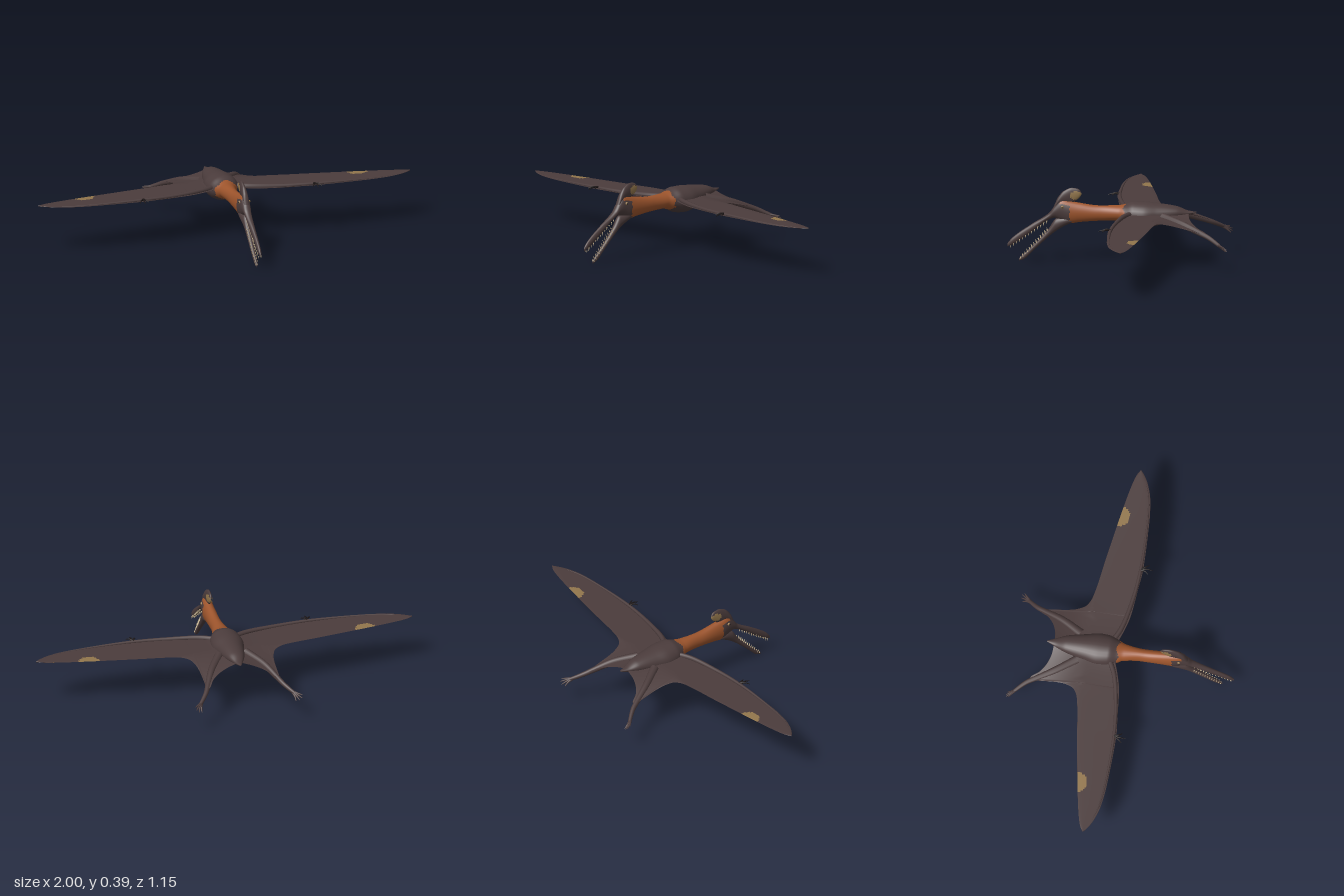
import * as THREE from 'three';

const flat = (name, color) => Object.assign(new THREE.MeshStandardMaterial({ color }), { name });

// Smooth curve through [key, value...] rows, without overshoot
function curve(rows, col) {
  const x = rows.map(r => r[0]), y = rows.map(r => r[col]), n = x.length;
  const d = x.slice(1).map((v, i) => (y[i + 1] - y[i]) / (v - x[i]));
  const m = x.map((_, i) => i === 0 ? d[0] : i === n - 1 ? d[n - 2]
    : d[i - 1] * d[i] <= 0 ? 0 : 2 * d[i - 1] * d[i] / (d[i - 1] + d[i]));
  return t => {
    let i = 0;
    while (i < n - 2 && t > x[i + 1]) i++;
    const w = x[i + 1] - x[i], s = (t - x[i]) / w, q = 1 - s;
    return y[i] * (1 + 2 * s) * q * q + m[i] * w * s * q * q
      + y[i + 1] * s * s * (3 - 2 * s) - m[i + 1] * w * s * s * q;
  };
}

// Closed rings joined in order; pick(x, y, z, isUpper) gives each quad's material index
function rings(list, segs, point, pick, flip = false) {
  const pos = [], sets = [[], [], []];
  list.forEach(u => { for (let j = 0; j < segs; j++) pos.push(...point(u, j / segs * Math.PI * 2)); });
  for (let i = 0; i < list.length - 1; i++) for (let j = 0; j < segs; j++) {
    const a = i * segs + j, b = i * segs + (j + 1) % segs, c = a + segs, d = b + segs;
    const mid = k => (pos[a * 3 + k] + pos[b * 3 + k] + pos[c * 3 + k] + pos[d * 3 + k]) / 4;
    const set = sets[pick(mid(0), mid(1), mid(2), j < segs / 2)];
    if (flip) set.push(a, c, b, b, c, d); else set.push(a, b, c, b, d, c);
  }
  const g = new THREE.BufferGeometry();
  g.setAttribute('position', new THREE.Float32BufferAttribute(pos, 3));
  g.setIndex(sets.flat());
  let start = 0;
  sets.forEach((s, k) => { if (s.length) g.addGroup(start, s.length, k); start += s.length; });
  g.computeVertexNormals();
  return g;
}

// Oval sections along z from rows of [z, bottom, top, halfWidth]
function loft(rows, steps, pick) {
  const [lo, hi, hw] = [1, 2, 3].map(k => curve(rows, k));
  const z0 = rows[0][0], z1 = rows[rows.length - 1][0];
  const list = Array.from({ length: steps + 1 }, (_, i) => z0 + (z1 - z0) * i / steps);
  return rings(list, 28, (z, a) => [hw(z) * Math.cos(a),
    (lo(z) + hi(z)) / 2 + (hi(z) - lo(z)) / 2 * Math.sin(a), z], pick);
}

// Tube narrowing from r0 to r1
function taper(points, r0, r1, segs = 24) {
  const path = new THREE.CatmullRomCurve3(points.map(p => new THREE.Vector3(...p)));
  const g = new THREE.TubeGeometry(path, segs, 1, 10), p = g.attributes.position, v = new THREE.Vector3();
  for (let i = 0; i < p.count; i++) {
    const t = Math.floor(i / 11) / segs, c = path.getPointAt(t);
    v.fromBufferAttribute(p, i).sub(c).multiplyScalar(r0 + (r1 - r0) * t).add(c);
    p.setXYZ(i, v.x, v.y, v.z);
  }
  return g;
}

export function createModel() {
  const model = new THREE.Group();
  model.name = 'flyingReptile';
  const dark = flat('darkBrownSkin', 0x4b3c3c), orange = flat('orangeNeck', 0x9c542c);
  const tan = flat('tanMarking', 0x92764c), ivory = flat('ivoryTeeth', 0xcbb894);
  const claw = flat('blackClaw', 0x1d1717);
  const skin = [dark, orange, tan];
  const add = (name, geo, mat, parent = model) => {
    const m = new THREE.Mesh(geo, mat);
    m.name = name;
    parent.add(m);
    return m;
  };

  // Trunk, neck, skull and upper jaw in one skin
  add('bodyNeckAndSkull', loft([
    [-0.4, 0.262, 0.267, 0.003], [-0.36, 0.25, 0.273, 0.02], [-0.3, 0.23, 0.295, 0.045],
    [-0.2, 0.195, 0.31, 0.07], [-0.13, 0.18, 0.317, 0.085], [-0.08, 0.185, 0.318, 0.08],
    [-0.03, 0.205, 0.302, 0.06], [0, 0.218, 0.297, 0.045], [0.1, 0.215, 0.295, 0.031],
    [0.2, 0.207, 0.308, 0.031], [0.25, 0.2, 0.318, 0.031], [0.29, 0.213, 0.325, 0.027],
    [0.33, 0.228, 0.29, 0.022], [0.355, 0.22, 0.255, 0.018], [0.45, 0.15, 0.192, 0.013],
    [0.55, 0.083, 0.118, 0.009], [0.572, 0.074, 0.09, 0.003]], 180,
  (x, y, z) => (z > -0.03 + 0.006 * Math.sin(y * 160) && z < 0.25 + 0.004 * Math.sin(y * 300))
    || (z > 0.2 && z < 0.3 && y > 0.3) ? 1 : 0), skin);

  add('lowerJaw', loft([
    [0.24, 0.203, 0.225, 0.02], [0.27, 0.19, 0.235, 0.024], [0.32, 0.16, 0.225, 0.02],
    [0.36, 0.128, 0.17, 0.015], [0.43, 0.063, 0.093, 0.012], [0.49, 0.008, 0.035, 0.008],
    [0.512, 0.001, 0.013, 0.003]], 50, () => 0), skin);

  // Thin head crest with a pale patch at the back
  add('crest', loft([
    [0.191, 0.349, 0.361, 0.003], [0.2, 0.336, 0.376, 0.008], [0.215, 0.322, 0.383, 0.01],
    [0.24, 0.305, 0.386, 0.012], [0.28, 0.3, 0.37, 0.014], [0.31, 0.29, 0.337, 0.015],
    [0.338, 0.25, 0.275, 0.012]], 60,
  (x, y, z) => Math.hypot((z - 0.218) / 0.033, (y - 0.347) / 0.022) < 1 ? 2 : 0), skin);

  // Wing plan: leading and trailing edges by span
  const leadRows = [[0, -0.05], [0.06, -0.035], [0.12, -0.015], [0.2, 0.005], [0.35, 0.02], [0.47, 0.03],
    [0.73, 0.022], [0.85, 0.008], [0.93, -0.017], [0.98, -0.045], [1, -0.062]];
  const trailRows = [[0, -0.362], [0.05, -0.365], [0.1, -0.38], [0.15, -0.415], [0.183, -0.46],
    [0.196, -0.46], [0.199, -0.33], [0.207, -0.275], [0.23, -0.228], [0.28, -0.203], [0.5, -0.168],
    [0.75, -0.128], [0.9, -0.1], [0.97, -0.081], [1, -0.064]];
  const lead = curve(leadRows, 1), trail = curve(trailRows, 1);
  const span = [0];
  trailRows.slice(1).forEach(([x], i) => {
    const from = trailRows[i][0], n = Math.max(4, Math.ceil((x - from) / 0.01));
    for (let k = 1; k <= n; k++) span.push(from + (x - from) * k / n);
  });
  const wingPick = (px, y, z, upper) => {
    const x = Math.abs(px);
    if (upper) return Math.hypot((x - 0.735) / 0.052, (z + 0.125) / 0.045) < 1 ? 2 : 0;
    const edge = (lead(x) - trail(x)) * (0.4 + 0.08 * Math.sin(x * 55));
    return x > 0.42 && x < 0.94 && z - trail(x) < edge ? 2 : 0;
  };

  for (const s of [1, -1]) {
    const side = new THREE.Group();
    side.name = s > 0 ? 'leftLimbs' : 'rightLimbs';
    model.add(side);
    const at = list => list.map(([x, y, z]) => [s * x, y, z]);

    // Membrane, drooping toward the leg
    add('wingMembrane', rings(span, 48, (x, a) => {
      const f = lead(x), b = trail(x), z = (f + b) / 2 - (f - b) / 2 * Math.cos(a);
      const droop = Math.min(1, x / 0.19) * Math.max(0, -z - 0.2) * 0.26;
      const half = 0.002 + 0.005 * Math.exp(-(f - z) / 0.04) * (1 - 0.7 * x);
      return [s * x, 0.253 + 0.014 * Math.exp(-x / 0.07) - droop + half * Math.sin(a), z];
    }, wingPick, s < 0), skin);

    add('armBone', taper(at([[0.03, 0.262, -0.08], [0.12, 0.262, -0.035], [0.28, 0.258, 0],
      [0.46, 0.258, 0.017], [0.73, 0.255, 0.012], [0.86, 0.254, -0.004], [0.95, 0.253, -0.035]]),
    0.014, 0.002, 60), dark, side);

    // Wing fingers
    [[0.44, 0.058], [0.465, 0.078], [0.49, 0.06]].forEach(([x, z]) =>
      add('wingFinger', taper(at([[0.458, 0.26, 0.015], [(x + 0.464) / 2, 0.264, 0.042], [x, 0.256, z]]),
        0.006, 0.0015, 8), claw, side));

    // Leg, foot and toes
    add('leg', taper(at([[0.07, 0.25, -0.23], [0.14, 0.225, -0.34], [0.183, 0.191, -0.43],
      [0.205, 0.172, -0.475], [0.235, 0.15, -0.515], [0.25, 0.14, -0.532]]), 0.024, 0.009), dark, side);
    [[0.285, 0.137, -0.558], [0.281, 0.125, -0.57], [0.267, 0.115, -0.572], [0.25, 0.109, -0.565]]
      .forEach(([x, y, z]) => add('toe', taper(at([[0.24, 0.145, -0.52],
        [(x + 0.247) / 2, (y + 0.143) / 2, (z - 0.525) / 2], [x, y, z]]), 0.008, 0.002, 8), dark, side));

    // Eye with pupil
    const eye = add('eye', new THREE.SphereGeometry(0.008, 16, 12), tan);
    eye.position.set(s * 0.0245, 0.288, 0.288);
    const pupil = add('pupil', new THREE.SphereGeometry(0.004, 12, 8), claw);
    pupil.position.set(s * 0.0305, 0.288, 0.289);

    // Teeth along both jaws
    for (let i = 0; i < 13; i++) {
      const t = i / 12, len = 0.014 + 0.005 * (i % 2);
      const upper = add('upperTooth', new THREE.ConeGeometry(0.0032, len, 6), ivory);
      upper.position.set(s * (0.012 - 0.006 * t), 0.206 - 0.134 * t, 0.37 + 0.187 * t);
      upper.rotation.x = Math.PI - 0.2;
      const lower = add('lowerTooth', new THREE.ConeGeometry(0.0032, len, 6), ivory);
      lower.position.set(s * (0.011 - 0.006 * t), 0.168 - 0.148 * t, 0.368 + 0.137 * t);
      lower.rotation.x = 0.4;
    }
  }
  return model;
}
